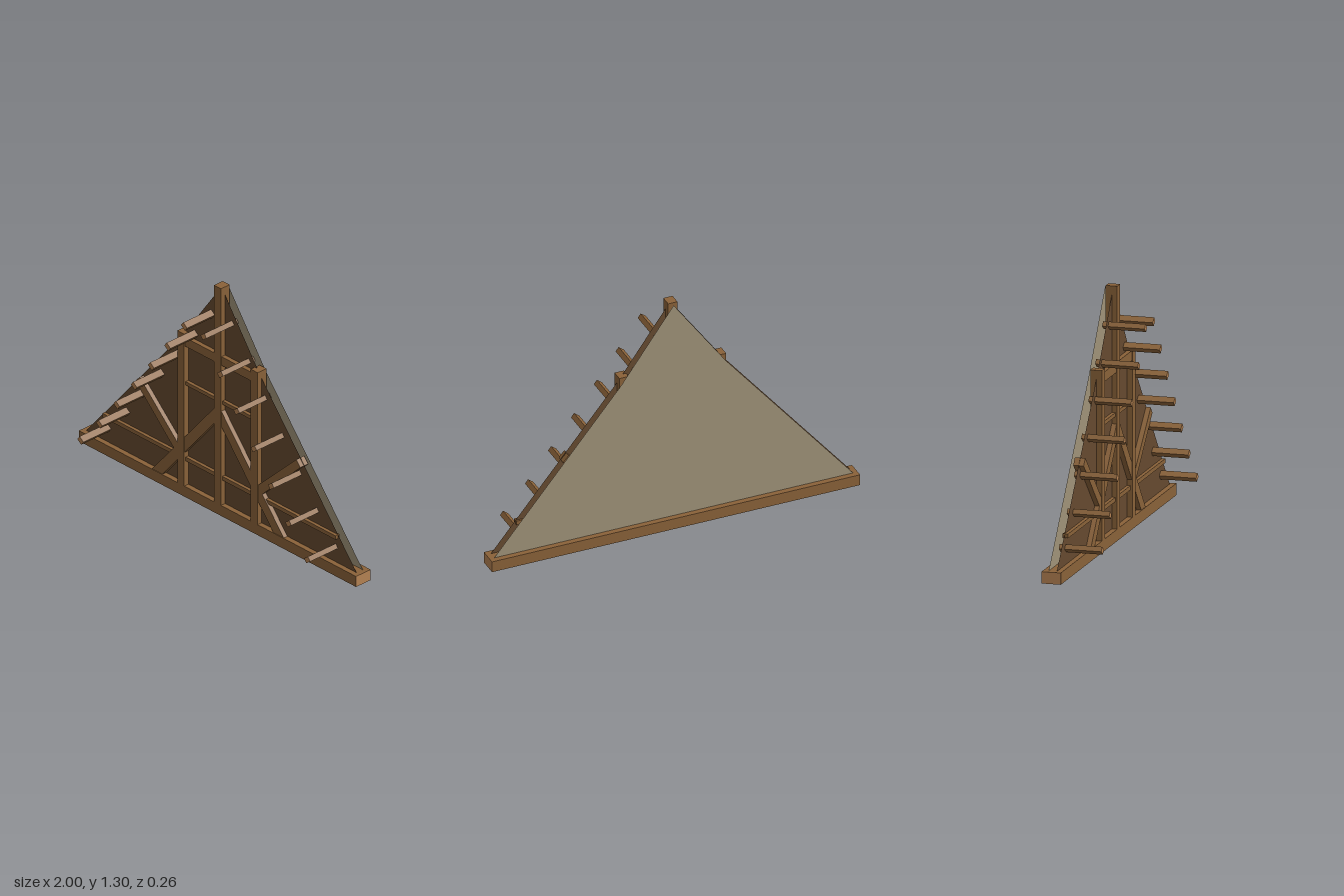
import * as THREE from 'three';

const wood = new THREE.MeshStandardMaterial({ color: 0x8a6239 });
wood.name = 'wood';
const endGrain = new THREE.MeshStandardMaterial({ color: 0xb58253 });
endGrain.name = 'end grain';
const planks = new THREE.MeshStandardMaterial({ color: 0x664a30, side: THREE.DoubleSide });
planks.name = 'dark planks';
const plaster = new THREE.MeshStandardMaterial({ color: 0xa09379, side: THREE.DoubleSide });
plaster.name = 'plaster';

export function createModel() {
  const model = new THREE.Group();
  model.name = 'gableFrame';

  const add = (name, geometry, material) => {
    const mesh = new THREE.Mesh(geometry, material);
    mesh.name = name;
    model.add(mesh);
    return mesh;
  };

  // Box given by its low and high corners
  const beam = (name, x0, x1, y0, y1, z0, z1, material = wood) =>
    add(name, new THREE.BoxGeometry(x1 - x0, y1 - y0, z1 - z0), material)
      .position.set((x0 + x1) / 2, (y0 + y1) / 2, (z0 + z1) / 2);

  const outline = (points) => new THREE.Shape(points.map(([x, y]) => new THREE.Vector2(x, y)));

  // Timber cut to a flat outline, mirrored by side
  const brace = (name, points, side) => {
    const shape = outline(points.map(([x, y]) => [x * side, y]));
    const geometry = new THREE.ExtrudeGeometry(shape, { depth: 0.054, bevelEnabled: false });
    add(name, geometry, wood).position.z = -0.087;
  };

  // Sill with pale cut ends
  beam('sill', -1, 1, 0, 0.06, -0.13, -0.03,
    [endGrain, endGrain, wood, wood, wood, wood]);

  // Posts and rails
  beam('kingPost', -0.025, 0.025, 0.06, 1.3, -0.09, -0.03);
  beam('lowerRail', -0.84, 0.84, 0.2, 0.222, -0.068, -0.04);
  beam('middleRail', -0.25, 0.25, 0.634, 0.654, -0.068, -0.04);
  beam('collarBeam', -0.25, 0.25, 0.86, 0.91, -0.086, -0.034);

  // Inner dark boarding and outer plaster face
  const gable = [[-0.975, 0.06], [0.975, 0.06], [0.285, 0.893], [0, 1.29], [-0.285, 0.893]];
  add('innerBoarding', new THREE.ShapeGeometry(outline(gable)), planks).position.z = -0.058;
  add('outerFace', new THREE.ShapeGeometry(outline(gable)), plaster).position.z = -0.1;

  // Purlin centres up the slope
  const purlins = [
    [0.818, 0.143], [0.682, 0.293], [0.557, 0.455], [0.432, 0.617],
    [0.308, 0.78], [0.19, 0.942], [0.07, 1.108],
  ];

  for (const side of [1, -1]) {
    const label = side > 0 ? 'left' : 'right';
    const x = 0.265 * side;
    beam(label + 'Post', x - 0.025, x + 0.025, 0.06, 0.93, -0.09, -0.03);
    brace(label + 'LowerBrace', [[0.4, 0.06], [0.475, 0.06], [0.01, 0.615], [0, 0.54]], side);
    brace(label + 'UpperBrace', [[0.26, 0.187], [0.595, 0.513], [0.565, 0.547], [0.26, 0.257]], side);

    // Purlins with pale front ends
    for (const [px, py] of purlins) {
      const purlin = add(label + 'Purlin', new THREE.BoxGeometry(0.035, 0.027, 0.22),
        [wood, wood, wood, wood, endGrain, endGrain]);
      purlin.position.set(px * side, py, 0.022);
      purlin.rotation.z = 0.65 * side;
    }
  }
  return model;
}
